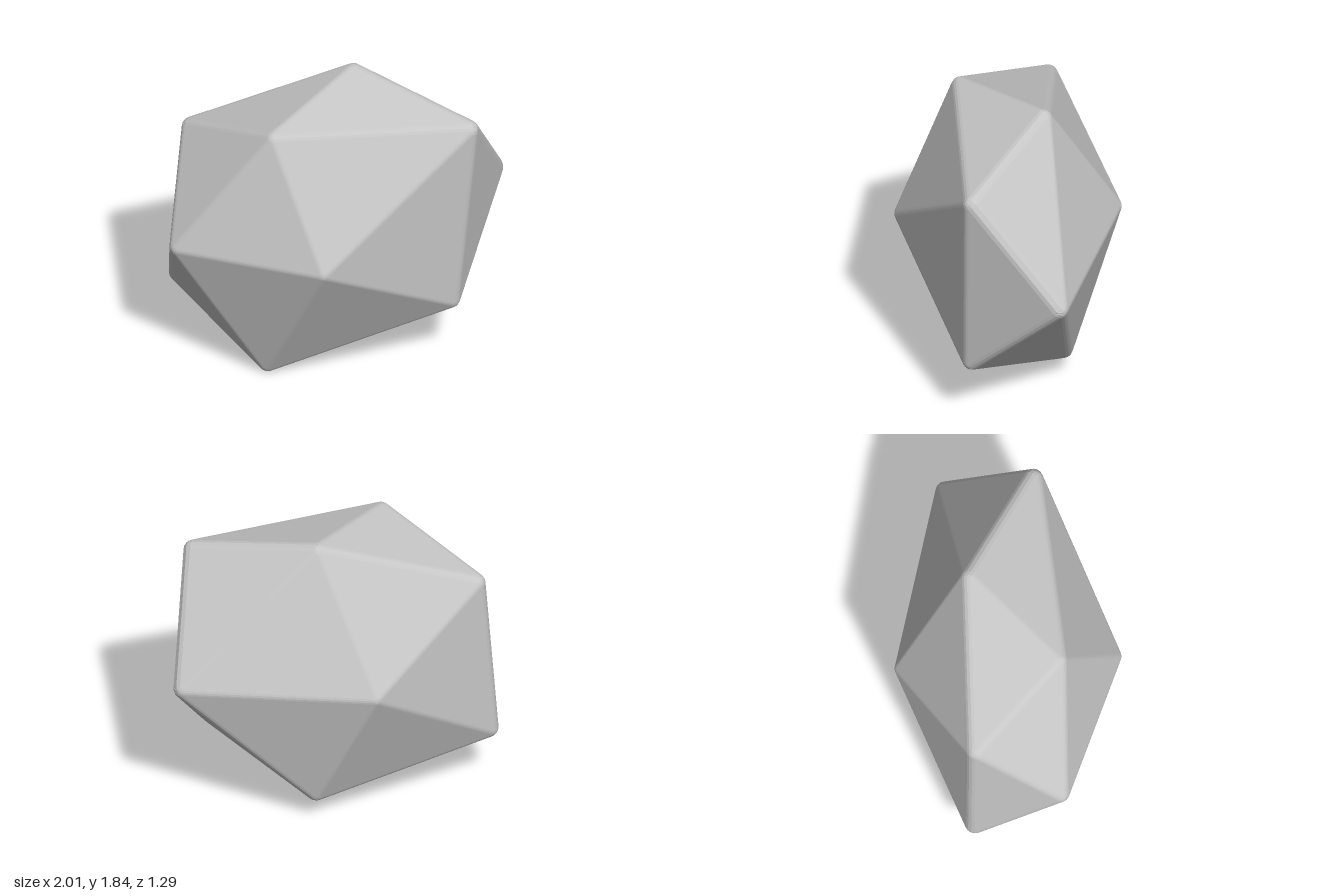
import * as THREE from 'three';

const V = (x, y, z) => new THREE.Vector3(x, y, z);
const RADIUS = 0.06; // edge rounding
const STEPS = 3; // flat strips across each rounded edge

// Twelve corners of the irregular boulder
const corners = {
  A: V(0.145, 1.828, -0.19), B: V(0.728, 1.662, 0.365), C: V(-0.44, 1.703, 0.257),
  D: V(-0.81, 1.463, -0.358), E: V(-0.997, 0.93, 0.15), F: V(-0.22, 0.95, 0.643),
  G: V(0.996, 1.025, -0.16), H: V(0.628, 0.433, 0.35), I: V(-0.447, 0.003, 0.153),
  J: V(-0.88, 0.39, -0.387), K: V(0.205, 0.152, -0.303), L: V(-0.04, 1.0, -0.643),
};
const faceNames = ('FCB FBH FHI FIE FEC ABC ACD CDE EIJ DEJ ' +
  'HIK HKG BGH ABG AGL ALD DLJ LJK LKG IJK').split(' ');

function roundedRock() {
  const centre = V(0, 0.92, 0);
  const faceNormal = (keys, points) => {
    const [a, b, c] = keys.map((k) => points[k]);
    const n = b.clone().sub(a).cross(c.clone().sub(a)).normalize();
    return n.dot(a.clone().sub(centre)) < 0 ? n.negate() : n;
  };
  const faces = faceNames.map((name) => {
    const keys = [...name];
    return { keys, normal: faceNormal(keys, corners) };
  });

  // Pull each corner in so that the rounding ends at the wanted outline
  const core = {}, out = {};
  for (const k in corners) {
    out[k] = V(0, 0, 0);
    faces.filter((f) => f.keys.includes(k)).forEach((f) => out[k].add(f.normal));
    out[k].normalize();
    core[k] = corners[k].clone().addScaledVector(out[k], -RADIUS);
  }
  for (const f of faces) f.normal = faceNormal(f.keys, core);

  const positions = [];
  const tri = (...points) => { // each point is [corner key, direction]
    const p = points.map(([k, n]) => core[k].clone().addScaledVector(n, RADIUS));
    const turn = p[1].clone().sub(p[0]).cross(p[2].clone().sub(p[0]));
    const facing = points[0][1].clone().add(points[1][1]).add(points[2][1]);
    const order = turn.dot(facing) < 0 ? [0, 2, 1] : [0, 1, 2];
    for (const i of order) positions.push(...p[i].toArray());
  };
  const blend = (n, m, t) => n.clone().lerp(m, t).normalize();

  faces.forEach((f, i) => {
    // Flat facet
    tri(...f.keys.map((k) => [k, f.normal]));
    for (const g of faces.slice(i + 1)) {
      const shared = f.keys.filter((k) => g.keys.includes(k));
      if (shared.length < 2) continue;
      const [p, q] = shared;
      for (let s = 0; s < STEPS; s++) {
        const n = blend(f.normal, g.normal, s / STEPS);
        const m = blend(f.normal, g.normal, (s + 1) / STEPS);
        // Rounded edge
        tri([p, n], [q, n], [q, m]);
        tri([p, n], [q, m], [p, m]);
        // Rounded corners at both ends
        for (const k of shared) {
          const n2 = blend(n, out[k], 0.5), m2 = blend(m, out[k], 0.5);
          tri([k, n], [k, m], [k, m2]);
          tri([k, n], [k, m2], [k, n2]);
          tri([k, n2], [k, m2], [k, out[k]]);
        }
      }
    }
  });

  const geometry = new THREE.BufferGeometry();
  geometry.setAttribute('position', new THREE.Float32BufferAttribute(positions, 3));
  geometry.computeVertexNormals(); // unshared corners give flat facets
  return geometry;
}

export function createModel() {
  const stone = new THREE.MeshStandardMaterial({ color: 0xc6c6c6 });
  stone.name = 'light stone grey';
  const rock = new THREE.Mesh(roundedRock(), stone);
  rock.name = 'rock';
  const model = new THREE.Group();
  model.name = 'boulder';
  model.add(rock);
  return model;
}
